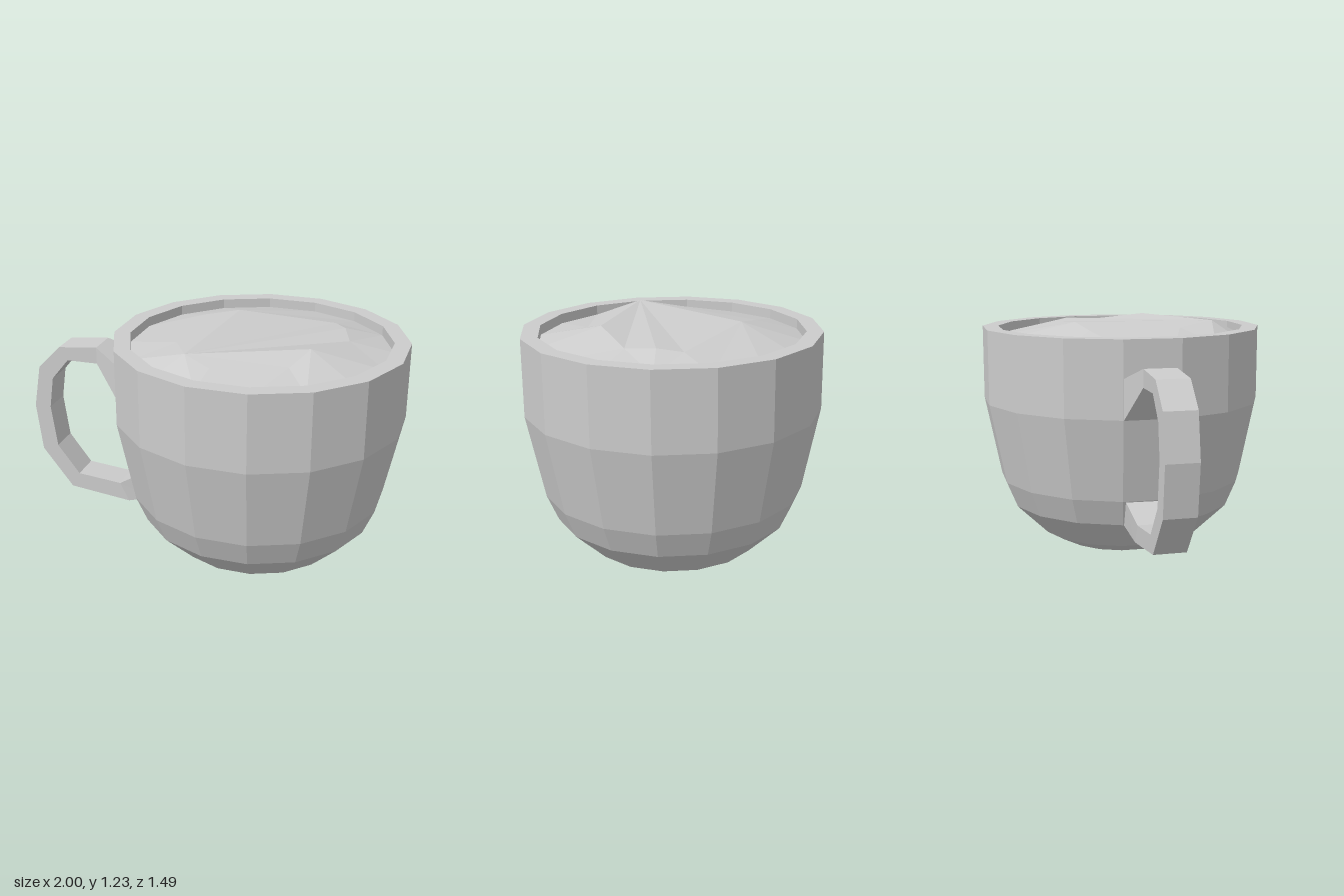
import * as THREE from 'three';

const SIDES = 16, CX = 0.26, TURN = 0.02;
const v = (x, y, z) => new THREE.Vector3(x, y, z);

// Flat-faced geometry from a list of triangles
function fromTriangles(tris) {
  const g = new THREE.BufferGeometry().setFromPoints(tris.flat());
  g.computeVertexNormals();
  return g;
}

// Cup: bottom, outer wall, flat rim and short inner wall
function cupGeometry() {
  const profile = [[0, 0], [0.316, 0], [0.44, 0.063], [0.61, 0.227], [0.668, 0.365],
    [0.755, 0.795], [0.755, 1.19], [0.67, 1.19], [0.67, 1.135]].map(p => new THREE.Vector2(...p));
  return new THREE.LatheGeometry(profile, SIDES, Math.PI / SIDES - TURN).translate(CX, 0, 0);
}

// Filling: uneven faceted mound whose edge meets the inner wall
function fillingGeometry() {
  const angle = p => { const a = Math.atan2(p.z, p.x - CX); return a < -0.25 ? a + Math.PI * 2 : a; };
  const edge = [];
  for (let i = 0; i < SIDES; i++) {
    const a = (i - 0.5) / SIDES * Math.PI * 2 + TURN;
    edge.push(v(CX + 0.67 * Math.cos(a), 1.14, 0.67 * Math.sin(a)));
  }
  const mound = [[0.70, 1.19, -0.08], [0.56, 1.23, 0.20], [0.49, 1.185, 0.36], [0.14, 1.195, 0.50],
    [0, 1.23, 0.44], [-0.11, 1.205, 0.23], [-0.11, 1.2, -0.25], [0.07, 1.23, -0.29],
    [0.58, 1.19, -0.34], [0.65, 1.205, -0.23]].map(p => v(...p));
  const tris = [], n = mound.length;
  // sloping band, stepping round both loops by angle
  let i = 0, j = 0;
  const at = (loop, k) => angle(loop[k % loop.length]) + (k >= loop.length ? Math.PI * 2 : 0);
  while (i < SIDES || j < n) {
    const e = edge[i % SIDES], m = mound[j % n];
    if (j >= n || (i < SIDES && at(edge, i + 1) <= at(mound, j + 1))) {
      tris.push([e, m, edge[++i % SIDES]]);
    } else {
      tris.push([e, m, mound[++j % n]]);
    }
  }
  // top facets
  for (let k = 1; k < n - 1; k++) tris.push([mound[4], mound[(5 + k) % n], mound[(4 + k) % n]]);
  return fromTriangles(tris);
}

// Handle: sections given as outer point, inner point, back and front z
function handleGeometry() {
  const b = -0.1, f = 0.065;
  const sections = [
    [-0.48, 1.0, -0.48, 0.795, -0.16, 0.13],
    [-0.62, 1.065, -0.62, 0.975, b, f],
    [-0.835, 1.045, -0.79, 0.975, b, f],
    [-0.96, 0.92, -0.885, 0.86, b, f],
    [-1.0, 0.69, -0.91, 0.69, b, f],
    [-0.97, 0.43, -0.88, 0.46, b, f],
    [-0.805, 0.215, -0.76, 0.3, b, f],
    [-0.465, 0.173, -0.515, 0.275, b, f],
    [-0.31, 0.235, -0.385, 0.365, -0.13, 0.105],
  ].map(([ox, oy, ix, iy, z0, z1]) => [v(ox, oy, z0), v(ox, oy, z1), v(ix, iy, z1), v(ix, iy, z0)]);
  const tris = [];
  for (let s = 0; s < sections.length - 1; s++) {
    const p = sections[s], q = sections[s + 1];
    for (let k = 0; k < 4; k++) {
      const l = (k + 1) % 4;
      tris.push([p[k], q[k], p[l]], [p[l], q[k], q[l]]);
    }
  }
  return fromTriangles(tris);
}

export function createModel() {
  const grey = new THREE.MeshStandardMaterial({ color: 0xcccccc, flatShading: true, side: THREE.DoubleSide });
  grey.name = 'light grey';
  const group = new THREE.Group();
  group.name = 'mug';
  const parts = { cup: cupGeometry(), filling: fillingGeometry(), handle: handleGeometry() };
  for (const [name, geometry] of Object.entries(parts)) {
    const mesh = new THREE.Mesh(geometry, grey);
    mesh.name = name;
    group.add(mesh);
  }
  return group;
}
